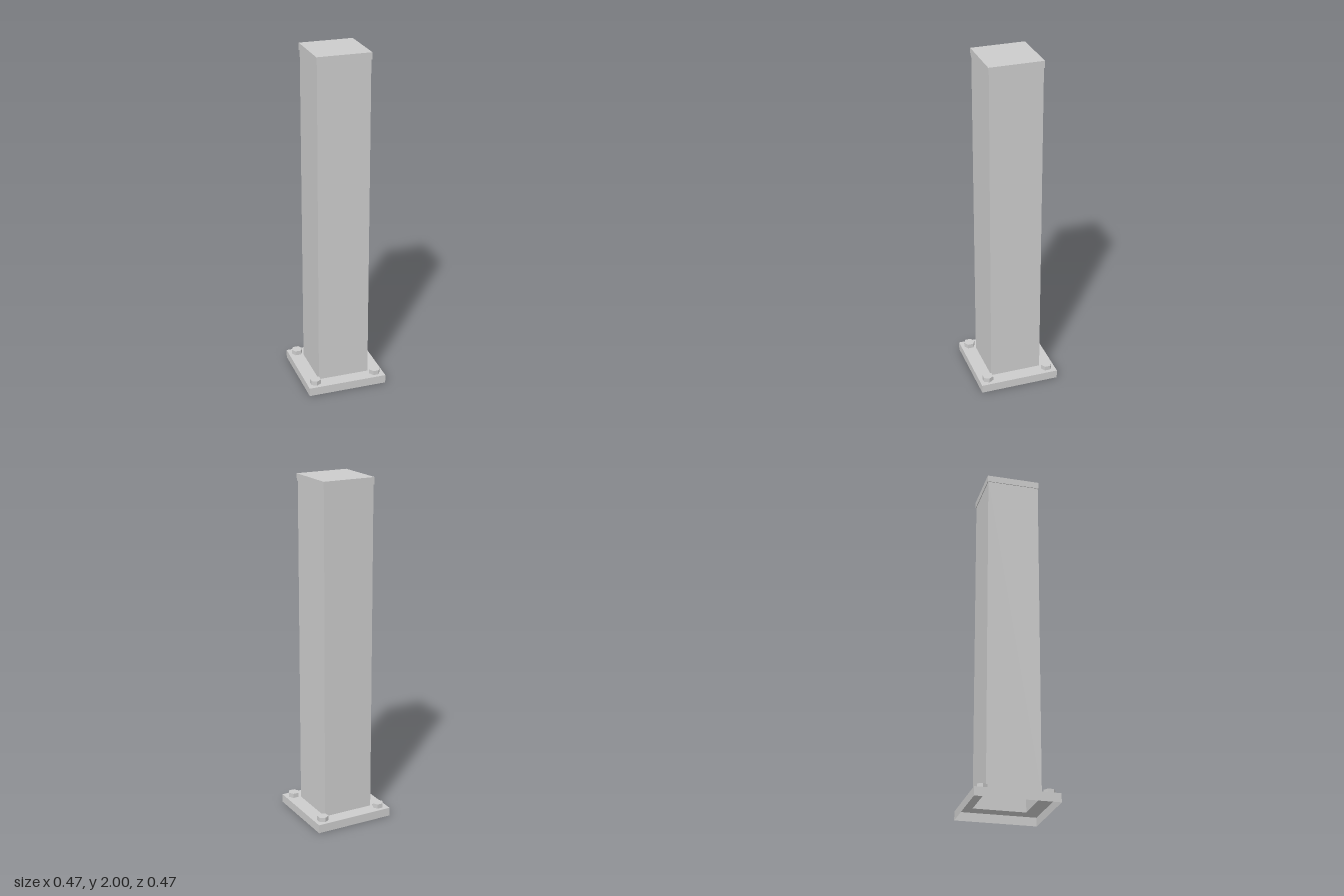
import * as THREE from 'three';

const material = new THREE.MeshStandardMaterial({ color: 0xcccccc, flatShading: true, side: THREE.DoubleSide });

// Square shell swept from [half width, height] points
function squareShell(name, profile) {
  const points = profile.map(([half, y]) => new THREE.Vector2(half * Math.SQRT2, y));
  const geometry = new THREE.LatheGeometry(points, 4, Math.PI / 4).toNonIndexed();
  geometry.computeVertexNormals();
  const mesh = new THREE.Mesh(geometry, material);
  mesh.name = name;
  return mesh;
}

export function createModel() {
  const group = new THREE.Group();
  group.name = 'postWithBasePlate';

  const plateHalf = 0.235, plateTop = 0.05;
  const postHalf = 0.152, capHalf = 0.156, capBottom = 1.96, top = 2;

  // Base plate, hollow underneath, with an opening into the post
  group.add(squareShell('basePlate', [[plateHalf, 0], [plateHalf, plateTop], [postHalf, plateTop]]));

  // Hollow square post
  group.add(squareShell('post', [[postHalf, plateTop], [postHalf, capBottom]]));

  // Cap with a narrow overhanging lip
  group.add(squareShell('cap', [[postHalf, capBottom], [capHalf, capBottom], [capHalf, top], [0, top]]));

  // Hexagonal bolt heads, each a quarter turn from the last
  const boltHeight = 0.027;
  const boltGeometry = new THREE.CylinderGeometry(0.033, 0.033, boltHeight, 6);
  for (let i = 0; i < 4; i++) {
    const corner = new THREE.Group();
    corner.name = `boltCorner${i + 1}`;
    const bolt = new THREE.Mesh(boltGeometry, material);
    bolt.name = 'boltHead';
    bolt.position.set(0.184, plateTop + boltHeight / 2, 0.184);
    bolt.rotation.y = Math.PI / 2;
    corner.add(bolt);
    corner.rotation.y = i * Math.PI / 2;
    group.add(corner);
  }
  return group;
}
